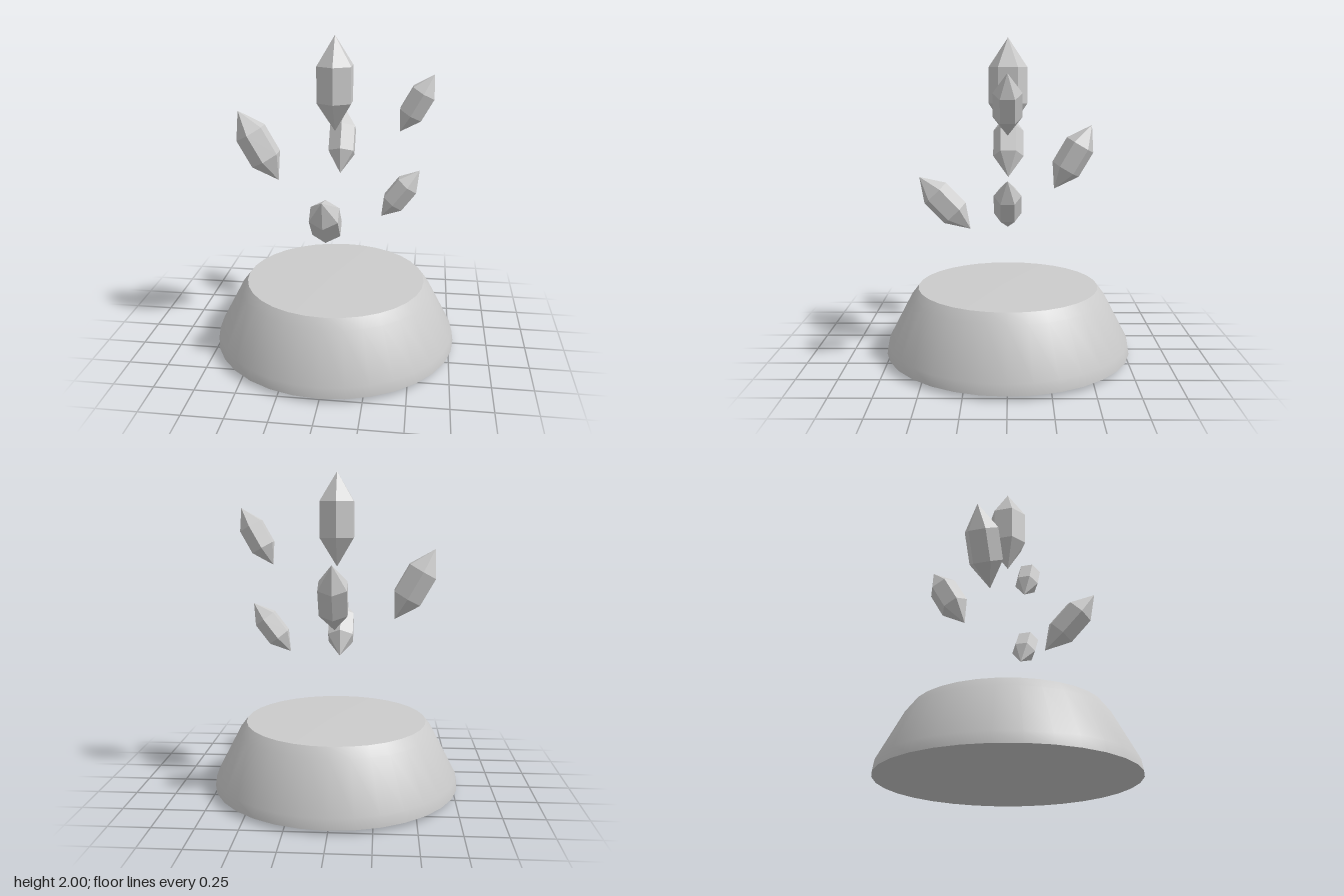
import * as THREE from 'three';
import { toCreasedNormals } from 'three/addons/utils/BufferGeometryUtils.js';

const points = (list) => list.map(([r, y]) => new THREE.Vector2(r, y));

// Six-sided double-pointed crystal of half length 1, with corners towards +z and -z
const crystalGeometry = new THREE.LatheGeometry(
  points([[0, -1], [0.415, -0.38], [0.415, 0.38], [0, 1]]), 6);

export function createModel() {
  const group = new THREE.Group();

  // Tapered round pedestal with softened shoulders and very shallow cone caps
  const profile = points([
    [0, 0], [0.78, 0.025], [0.77, 0.09], [0.62, 0.378], [0.575, 0.437], [0, 0.45],
  ]);
  const pedestal = new THREE.Mesh(
    toCreasedNormals(new THREE.LatheGeometry(profile, 32), 0.7),
    new THREE.MeshStandardMaterial({ color: 0xcccccc }));
  pedestal.name = 'pedestal';
  group.add(pedestal);

  // Floating crystals, each stretched between its lower and upper tip
  const crystalMaterial = new THREE.MeshStandardMaterial({ color: 0xcccccc, flatShading: true });
  const crystals = [
    ['centreCrystal', [-0.005, 1.418, 0], [-0.005, 2, 0]],
    ['rightCrystal', [-0.366, 1.089, 0], [-0.616, 1.529, 0]],
    ['upperLeftCrystal', [0.395, 1.428, 0], [0.592, 1.778, 0]],
    ['lowerLeftCrystal', [0.29, 0.877, 0], [0.523, 1.184, 0]],
    ['frontCrystal', [-0.008, 0.803, 0.239], [-0.008, 1.137, 0.562]],
    ['backCrystal', [-0.008, 1.063, -0.291], [-0.008, 1.465, -0.525]],
  ];
  const up = new THREE.Vector3(0, 1, 0);
  for (const [name, low, high] of crystals) {
    const a = new THREE.Vector3(...low);
    const b = new THREE.Vector3(...high);
    const crystal = new THREE.Mesh(crystalGeometry, crystalMaterial);
    crystal.name = name;
    crystal.position.lerpVectors(a, b, 0.5);
    crystal.scale.setScalar(a.distanceTo(b) / 2);
    crystal.quaternion.setFromUnitVectors(up, b.sub(a).normalize());
    group.add(crystal);
  }
  return group;
}
